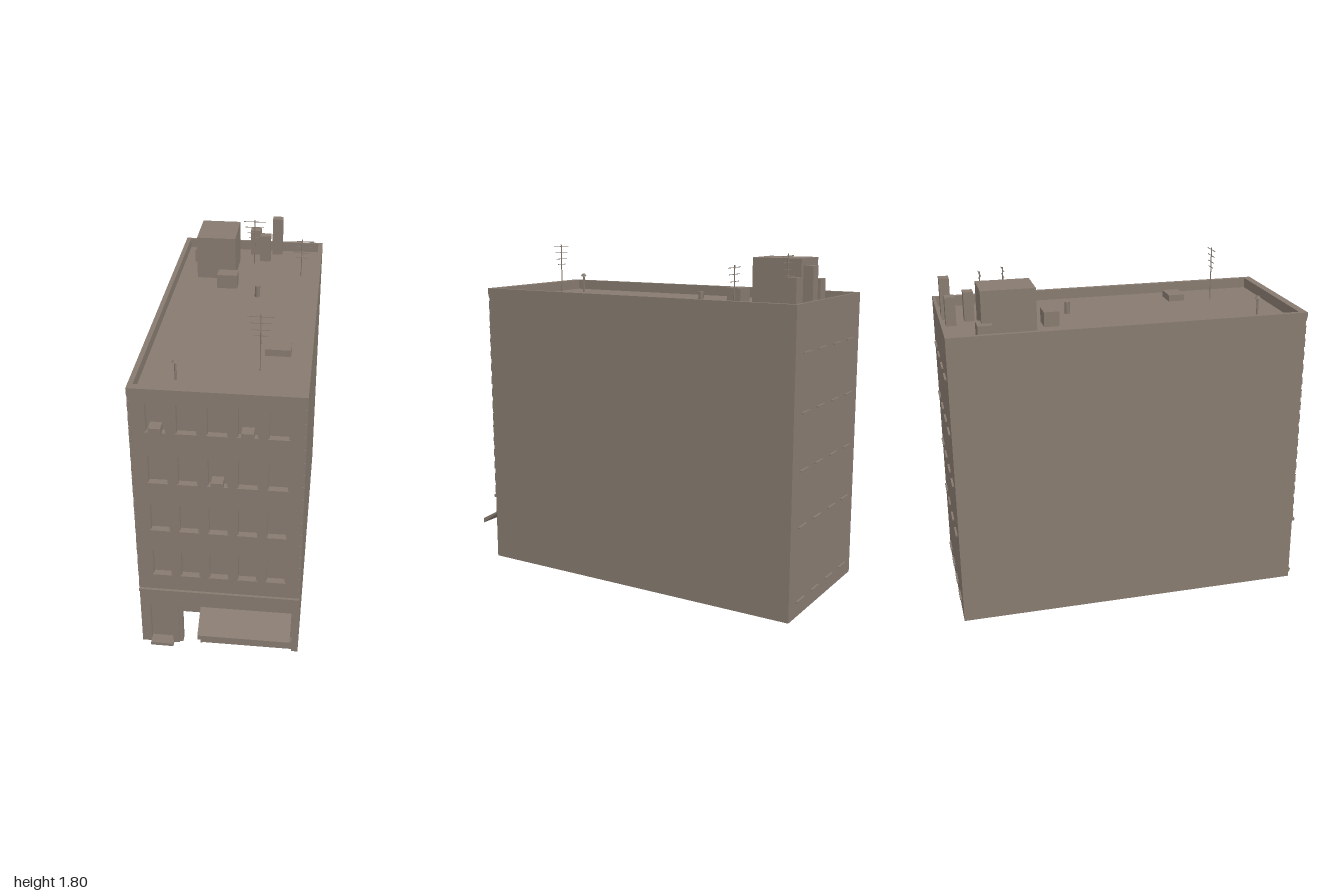
import * as THREE from 'three';

const W = 0.415, FRONT = 0.863, BACK = -0.99, TOP = 1.565, ROOF = 1.51, DEPTH = 0.033;

export function createModel() {
  const group = new THREE.Group();
  const stone = new THREE.MeshStandardMaterial({ color: 0x877b70, side: THREE.DoubleSide });

  const add = (name, geometry, x = 0, y = 0, z = 0) => {
    const mesh = new THREE.Mesh(geometry, stone);
    mesh.name = name;
    mesh.position.set(x, y, z);
    group.add(mesh);
    return mesh;
  };
  // Box given by its limits
  const box = (name, x0, x1, y0, y1, z0, z1) =>
    add(name, new THREE.BoxGeometry(x1 - x0, y1 - y0, z1 - z0), (x0 + x1) / 2, (y0 + y1) / 2, (z0 + z1) / 2);
  // Upright plane facing z, given by its limits
  const panel = (name, x0, x1, y0, y1, z) =>
    add(name, new THREE.PlaneGeometry(x1 - x0, y1 - y0), (x0 + x1) / 2, (y0 + y1) / 2, z);

  // Shell, open underneath
  const length = FRONT - BACK, midZ = (FRONT + BACK) / 2;
  for (const s of [-1, 1]) {
    const side = add('sideWall', new THREE.PlaneGeometry(length, TOP), s * W, TOP / 2, midZ);
    side.rotation.y = s * Math.PI / 2;
  }
  const back = panel('backWall', -W, W, 0, TOP, BACK);
  back.rotation.y = Math.PI;
  const roof = add('roof', new THREE.PlaneGeometry(2 * W, length), 0, ROOF, midZ);
  roof.rotation.x = -Math.PI / 2;

  // Parapet: top faces and inner faces around the sunken roof
  const inX = 0.39, inBack = -0.975, inFront = 0.83;
  box('parapetSide', -W, -inX, ROOF, TOP, BACK, FRONT);
  box('parapetSide', inX, W, ROOF, TOP, BACK, FRONT);
  box('parapetBack', -inX, inX, ROOF, TOP, BACK, inBack);
  box('parapetFront', -inX, inX, ROOF, TOP, inFront, FRONT);

  // Facade with window holes, doorway and shop opening
  const facade = new THREE.Shape([
    [-W, 0], [-0.365, 0], [-0.365, 0.255], [-0.25, 0.255], [-0.25, 0], [-0.215, 0],
    [-0.215, 0.275], [0.38, 0.275], [0.38, 0], [W, 0], [W, 1.53], [-W, 1.53],
  ].map(([x, y]) => new THREE.Vector2(x, y)));
  const floors = [[0.47, 0.622], [0.755, 0.91], [1.042, 1.195], [1.33, 1.482]];
  const paneZ = FRONT - DEPTH + 0.002;
  floors.forEach(([y0, y1], floor) => {
    for (let i = -2; i <= 2; i++) {
      const x = i * 0.1445, h = 0.046;
      const hole = new THREE.Path();
      hole.moveTo(x - h, y0);
      hole.lineTo(x + h, y0);
      hole.lineTo(x + h, y1);
      if (floor > 1) {
        // Twin shallow arches on the upper floors
        hole.quadraticCurveTo(x + h / 2, y1 + 0.012, x, y1 - 0.004);
        hole.quadraticCurveTo(x - h / 2, y1 + 0.012, x - h, y1);
      } else {
        hole.lineTo(x - h, y1);
      }
      hole.lineTo(x - h, y0);
      facade.holes.push(hole);
      panel('windowPane', x - h, x + h, y0, y1 + 0.006, paneZ);
      box('windowSill', x - 0.051, x + 0.051, y0 - 0.006, y0 + 0.002, FRONT - 0.01, FRONT + 0.008);
    }
  });
  add('facade', new THREE.ExtrudeGeometry(facade, { depth: DEPTH, bevelEnabled: false, curveSegments: 4 }), 0, 0, FRONT - DEPTH);

  // Corner quoins
  for (let i = 0; i < 16; i++) {
    const y = 0.385 + i * 0.071;
    for (const s of [-1, 1]) {
      box('quoin', s * 0.409 - 0.006, s * 0.409 + 0.006, y, y + 0.045, FRONT - 0.004, FRONT + 0.004);
    }
  }

  // Cornice and belt course
  box('corniceLower', -W, W, 1.52, 1.532, FRONT - 0.01, FRONT + 0.004);
  box('corniceUpper', -W, W, 1.532, TOP, FRONT - 0.01, FRONT + 0.008);
  box('beltCourse', -W, W, 0.357, 0.372, FRONT - 0.01, FRONT + 0.014);
  box('shopFascia', -0.218, 0.382, 0.275, 0.357, FRONT - 0.01, FRONT + 0.01);

  // House door and step
  panel('houseDoor', -0.365, -0.25, 0, 0.255, paneZ);
  box('doorStep', -0.365, -0.245, 0, 0.018, FRONT - 0.03, 0.895);

  // Shop front, with an open entrance on its right-hand side
  const shopZ = FRONT - 0.05;
  box('entranceJamb', -0.215, -0.198, 0, 0.275, shopZ, FRONT - 0.01);
  box('entranceTransom', -0.198, -0.098, 0.208, 0.275, shopZ, FRONT - 0.02);
  box('shopPost', -0.104, -0.095, 0, 0.275, shopZ, FRONT - 0.01);
  panel('shopWindow', -0.098, 0.38, 0.05, 0.275, shopZ + 0.005);
  box('shopBulkhead', -0.095, 0.38, 0, 0.055, shopZ, FRONT - 0.015);

  // Awning: tapered slab extruded across the shop
  const awning = new THREE.Shape([[0.863, 0.272], [1, 0.195], [1, 0.168], [0.863, 0.264]]
    .map(([z, y]) => new THREE.Vector2(-z, y)));
  const awningMesh = add('awning', new THREE.ExtrudeGeometry(awning, { depth: 0.473, bevelEnabled: false }), -0.097, 0, 0);
  awningMesh.rotation.y = Math.PI / 2;

  // Window air conditioners
  for (const [x, y] of [[-0.289, 1.332], [0.1445, 1.332], [0, 1.044]]) {
    box('airConditioner', x - 0.029, x + 0.029, y, y + 0.038, FRONT - 0.03, 0.895);
  }

  // Sills on the back wall
  for (const y of [0.08, 0.467, 0.753, 1.04, 1.33]) {
    for (const x of [-0.282, -0.096, 0.096, 0.282]) {
      box('backSill', x - 0.047, x + 0.047, y - 0.004, y + 0.004, -1, BACK);
    }
  }

  // Roof structures
  box('stairHouse', -0.285, -0.068, ROOF, 1.75, -0.8, -0.525);
  box('stairHouseUnit', -0.33, -0.22, ROOF, 1.588, -0.825, -0.75);
  box('roofUnit', -0.155, -0.043, ROOF, 1.588, -0.468, -0.388);
  box('skylight', 0.18, 0.308, ROOF, 1.545, 0.3, 0.39);
  box('chimney', -0.015, 0.047, ROOF, 1.66, -0.953, -0.9);
  box('chimney', 0.05, 0.111, ROOF, 1.666, -0.852, -0.8);
  box('chimney', 0.115, 0.175, ROOF, 1.73, -0.966, -0.914);
  add('roofPipe', new THREE.CylinderGeometry(0.015, 0.015, 0.064, 8), 0.08, ROOF + 0.032, -0.3);
  add('ventPost', new THREE.CylinderGeometry(0.006, 0.006, 0.095, 8), -0.218, ROOF + 0.047, 0.67);
  add('ventCap', new THREE.CylinderGeometry(0.008, 0.018, 0.014, 8), -0.218, 1.61, 0.67);

  // Aerials with four crossbars each
  for (const [x, z, top] of [[0.17, 0.54, 1.805], [0.305, -0.61, 1.73], [0.021, -0.765, 1.778]]) {
    add('aerialMast', new THREE.CylinderGeometry(0.003, 0.003, top - ROOF, 6), x, (top + ROOF) / 2, z);
    for (const [drop, half] of [[0.012, 0.065], [0.045, 0.054], [0.08, 0.044], [0.11, 0.033]]) {
      box('aerialBar', x - half, x + half, top - drop - 0.0015, top - drop + 0.0015, z - 0.0015, z + 0.0015);
    }
  }
  return group;
}
